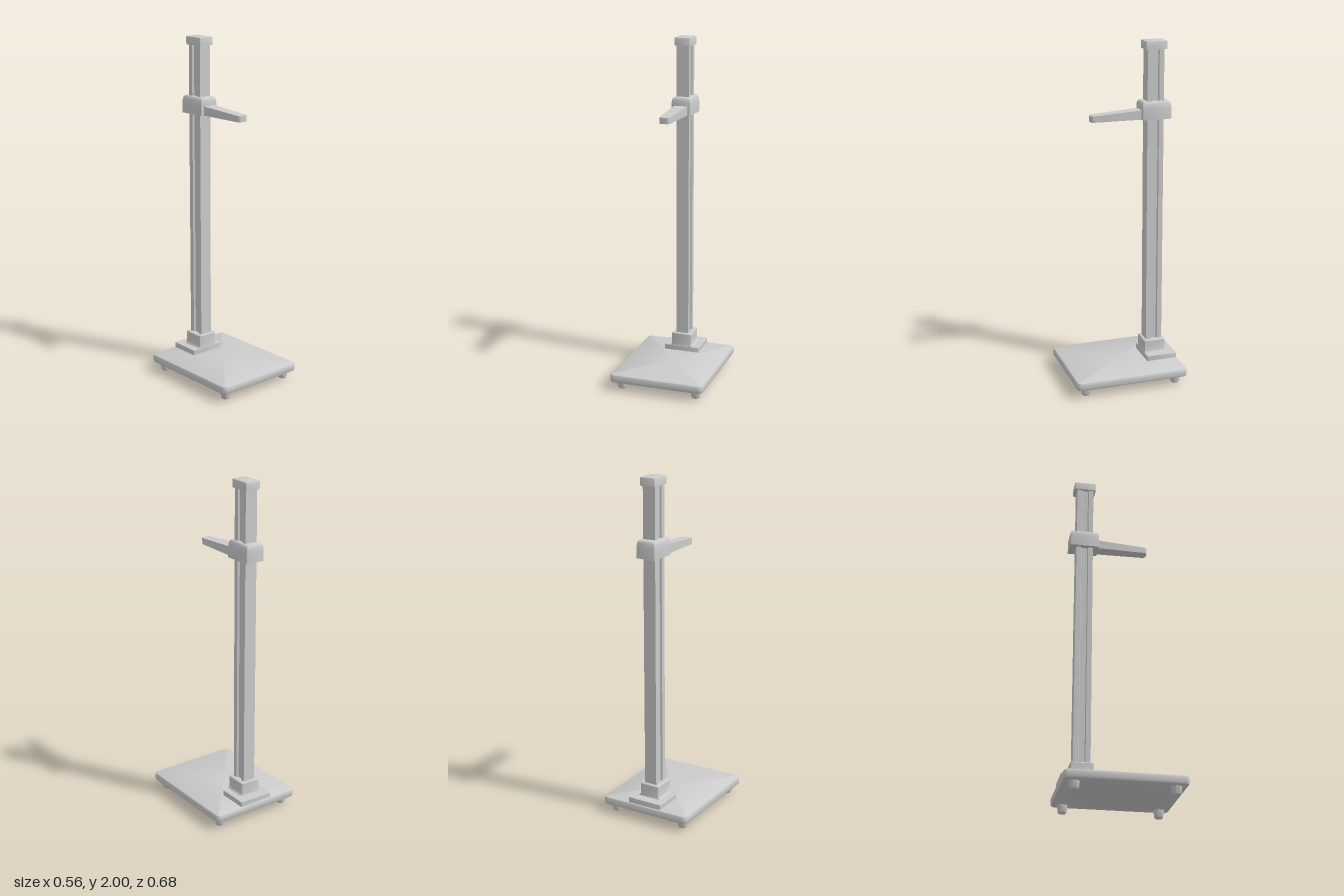
import * as THREE from 'three';
import { toCreasedNormals } from 'three/addons/utils/BufferGeometryUtils.js';

const material = new THREE.MeshStandardMaterial({ color: 0xcccccc });
const POST_Z = -0.208;

// Stacks rounded rectangles; each level is [y, insetX, insetZ = insetX].
function loft(w, d, r, levels) {
  const steps = 5, count = 4 * (steps + 1), pos = [], index = [];
  for (const [y, ix, iz = ix] of levels) {
    const rad = Math.max(r - Math.max(ix, iz, 0), 0.002);
    for (let c = 0; c < 4; c++) {
      const sx = c === 0 || c === 3 ? 1 : -1, sz = c < 2 ? 1 : -1;
      for (let s = 0; s <= steps; s++) {
        const a = (c + s / steps) * Math.PI / 2;
        pos.push(sx * (w / 2 - ix - rad) + rad * Math.cos(a), y, sz * (d / 2 - iz - rad) + rad * Math.sin(a));
      }
    }
  }
  const last = levels.length - 1, bottom = count * levels.length, top = bottom + 1;
  pos.push(0, levels[0][0], 0, 0, levels[last][0], 0);
  for (let i = 0; i < count; i++) {
    const j = (i + 1) % count;
    for (let k = 0; k < last; k++) {
      const a = k * count + i, b = k * count + j;
      index.push(a, a + count, b, b, a + count, b + count);
    }
    index.push(bottom, i, j, top, last * count + j, last * count + i);
  }
  const geo = new THREE.BufferGeometry();
  geo.setAttribute('position', new THREE.Float32BufferAttribute(pos, 3));
  geo.setIndex(index);
  return toCreasedNormals(geo, 0.6);
}

export function createModel() {
  const group = new THREE.Group();
  const add = (name, geo, x = 0, y = 0, z = 0) => {
    const mesh = new THREE.Mesh(geo, material);
    mesh.name = name;
    mesh.position.set(x, y, z);
    group.add(mesh);
  };

  // Base slab with softened rims
  add('base', loft(0.564, 0.676, 0.028, [
    [0.046, 0.012], [0.05, 0.004], [0.058, 0], [0.086, 0], [0.094, 0.004], [0.098, 0.012],
  ]));

  // Tapered rubber feet
  const footProfile = [[0, 0], [0.02, 0], [0.025, 0.006], [0.031, 0.05], [0, 0.05]].map(p => new THREE.Vector2(...p));
  const foot = toCreasedNormals(new THREE.LatheGeometry(footProfile, 24), 0.6);
  for (const x of [-0.225, 0.225]) for (const z of [-0.275, 0.275]) add('foot', foot, x, 0, z);

  // Mounting plate and the socket holding the post
  add('mountingPlate', loft(0.216, 0.184, 0.007, [[0.096, 0], [0.127, 0], [0.13, 0.003]]), 0, 0, -0.237);
  add('socket', loft(0.122, 0.13, 0.006, [
    [0.129, -0.012, 0], [0.133, -0.006, 0], [0.142, 0], [0.206, 0], [0.211, 0.005],
  ]), 0, 0, POST_Z);

  // Post: extruded section with a channel along each side
  const half = [[0.038, -0.049], [0.038, -0.021], [0.026, -0.017], [0.026, 0.017], [0.038, 0.021], [0.038, 0.049]];
  const section = new THREE.Shape([...half, ...half.map(([x, y]) => [-x, -y])].map(p => new THREE.Vector2(...p)));
  const post = new THREE.ExtrudeGeometry(section, { depth: 1.78, bevelEnabled: false });
  post.rotateX(-Math.PI / 2);
  add('post', post, 0, 0.19, POST_Z);

  // Cap on top of the post
  add('postCap', loft(0.094, 0.127, 0.006, [[1.953, 0], [1.995, 0], [1.9985, 0.0015], [2, 0.005]]), 0, 0, POST_Z - 0.001);

  // Sliding carriage, its upper rim rounded
  add('slider', loft(0.118, 0.173, 0.006, [
    [1.557, 0], [1.615, 0], [1.64, 0.004, 0.002], [1.652, 0.008, 0.006], [1.658, 0.013, 0.012], [1.66, 0.019, 0.018],
  ]), 0, 0, -0.2105);

  // Measuring arm: narrows and thins toward a rounded tip
  const plan = new THREE.Shape();
  plan.moveTo(-0.039, 0.14);
  plan.lineTo(-0.031, -0.153);
  plan.quadraticCurveTo(-0.029, -0.17, -0.014, -0.17);
  plan.lineTo(0.014, -0.17);
  plan.quadraticCurveTo(0.029, -0.17, 0.031, -0.153);
  plan.lineTo(0.039, 0.14);
  const arm = new THREE.ExtrudeGeometry(plan, { depth: 1, bevelEnabled: false, curveSegments: 8 });
  arm.rotateX(-Math.PI / 2);
  const p = arm.attributes.position;
  for (let i = 0; i < p.count; i++) {
    const t = (p.getZ(i) + 0.14) / 0.31;
    p.setY(i, p.getY(i) * THREE.MathUtils.lerp(0.054, 0.035, t));
  }
  add('measuringArm', toCreasedNormals(arm, 0.6), 0, 1.558, 0);

  return group;
}
